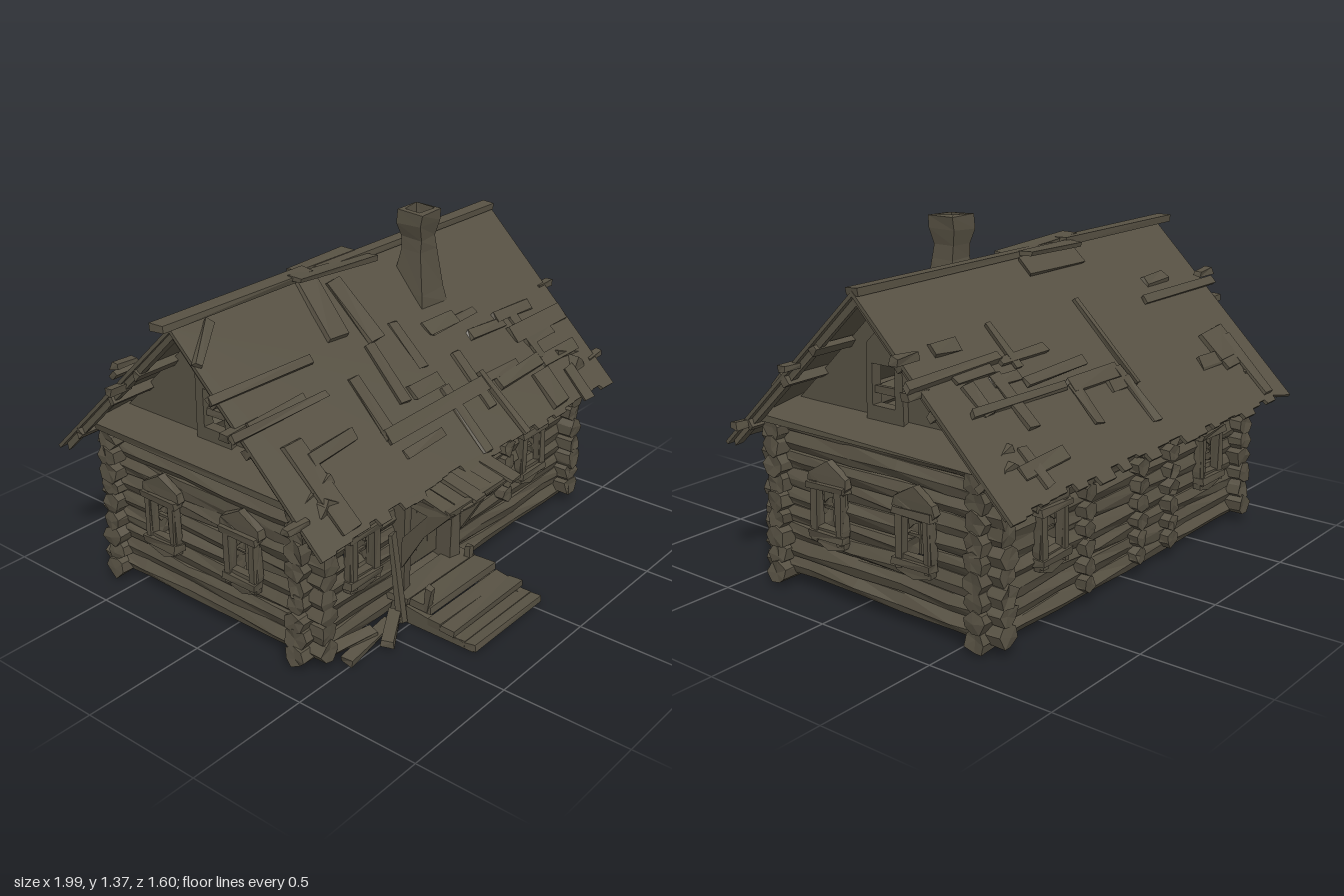
import * as THREE from 'three';

const wood = new THREE.MeshStandardMaterial({ color: 0x575143, flatShading: true });
wood.name = 'weathered wood';

// seeded random numbers
let seed = 7;
const rnd = (a = 0, b = 1) => {
  seed = (seed * 16807) % 2147483647;
  return a + (b - a) * (seed / 2147483647);
};

// nudges vertices; corners that share a place move together
function rough(geo, amount) {
  const p = geo.attributes.position, moved = new Map();
  for (let i = 0; i < p.count; i++) {
    const key = [p.getX(i), p.getY(i), p.getZ(i)].map(v => Math.round(v * 1e4) + 0).join();
    if (!moved.has(key)) moved.set(key, [rnd(-amount, amount), rnd(-amount, amount), rnd(-amount, amount)]);
    const d = moved.get(key);
    p.setXYZ(i, p.getX(i) + d[0], p.getY(i) + d[1], p.getZ(i) + d[2]);
  }
  geo.computeVertexNormals();
  return geo;
}

function add(parent, name, geo, x = 0, y = 0, z = 0) {
  const m = new THREE.Mesh(geo, wood);
  m.name = name;
  m.position.set(x, y, z);
  parent.add(m);
  return m;
}

const plank = (parent, name, w, h, d, x, y, z, j = 0.005) =>
  add(parent, name, rough(new THREE.BoxGeometry(w, h, d), j), x, y, z);

function outline(points) {
  return new THREE.Shape(points.map(([x, y]) => new THREE.Vector2(x, y)));
}

function holed(points, [x0, x1, y0, y1]) {
  const s = outline(points);
  s.holes.push(new THREE.Path([[x0, y0], [x0, y1], [x1, y1], [x1, y0]].map(p => new THREE.Vector2(...p))));
  return s;
}

const extrude = (shape, depth) => new THREE.ExtrudeGeometry(shape, { depth, bevelEnabled: false });

// stacked logs along local x, cut around openings [x0, x1, y0, y1]
function logWall(name, x0, x1, openings, shift) {
  const g = new THREE.Group();
  g.name = name;
  for (let i = 0; i < 9; i++) {
    const y = 0.058 + i * 0.07 + shift;
    let runs = [[x0 + rnd(-0.008, 0.008), x1 + rnd(-0.008, 0.008)]];
    for (const [a, b, lo, hi] of openings) {
      if (y < lo || y > hi) continue;
      runs = runs.flatMap(([s, e]) => (a > s && b < e ? [[s, a], [b, e]] : [[s, e]]));
    }
    for (const [s, e] of runs) {
      const geo = new THREE.CylinderGeometry(0.044, 0.044, e - s, 7, Math.max(1, Math.round((e - s) / 0.22)));
      geo.rotateZ(Math.PI / 2);
      add(g, 'log', rough(geo, 0.008), (s + e) / 2, y, 0);
    }
  }
  return g;
}

// carved window surround with a peaked top and broken glazing bars
function windowFrame(parent, x, low, z) {
  const g = new THREE.Group();
  g.name = 'window';
  g.position.set(x, low, z);
  const points = [[-0.075, 0], [0, -0.02], [0.075, 0], [0.08, 0.07], [0.072, 0.2], [0.098, 0.23],
    [0.09, 0.265], [0, 0.315], [-0.09, 0.265], [-0.098, 0.23], [-0.072, 0.2], [-0.08, 0.07]];
  add(g, 'windowSurround', rough(extrude(holed(points, [-0.05, 0.05, 0.06, 0.2]), 0.03), 0.004));
  for (const s of [-1, 1]) plank(g, 'windowPost', 0.026, 0.22, 0.03, s * 0.062, 0.12, 0.025);
  plank(g, 'windowSill', 0.17, 0.03, 0.045, 0, 0.035, 0.025);
  plank(g, 'windowHead', 0.18, 0.025, 0.04, 0, 0.22, 0.025);
  plank(g, 'glazingBar', 0.014, 0.14, 0.012, 0.0, 0.13, -0.01, 0.003);
  plank(g, 'glazingBar', 0.1, 0.012, 0.012, 0, 0.125, -0.01, 0.003);
  const shard = outline([[-0.05, 0.2], [-0.05, 0.14], [-0.03, 0.16], [0.01, 0.18], [0.05, 0.15], [0.05, 0.2]]);
  add(g, 'brokenPane', extrude(shard, 0.006), 0, 0, -0.01);
  parent.add(g);
}

// short crossing log ends where an inner wall meets an outer wall
function logEnds(parent, x, z, lo, hi) {
  for (let i = lo; i < hi; i++) {
    const geo = new THREE.CylinderGeometry(0.036, 0.036, 0.13, 6, 1).rotateX(Math.PI / 2);
    add(parent, 'crossLogEnd', rough(geo, 0.007), x, 0.09 + i * 0.07, z);
  }
}

// one roof slope in its own plane: x along the ridge, -y down the slope
function roofSlope(name, turn, boards) {
  const g = new THREE.Group();
  g.name = name;
  g.position.set(0, 1.2, -0.12);
  g.rotation.set(-0.8, turn, 0, 'YXZ');
  const pts = [[-0.93, 0], [-0.93, -0.94]];
  for (let x = -0.86; x < 0.86; x += rnd(0.04, 0.1)) {
    const y = -rnd(0.895, 0.945);
    pts.push([x, pts[pts.length - 1][1]], [x + 0.006, y]);
  }
  pts.push([0.93, -0.935], [0.93, 0]);
  add(g, 'roofSheet', extrude(outline(pts), 0.014), 0, 0, -0.014);
  for (const [x, y, w, h, tilt] of boards) {
    plank(g, 'patchBoard', w, h, 0.018, x, y, 0.01).rotation.z = tilt || 0;
  }
  for (let i = 0; i < 16; i++) {
    const across = i % 3 > 0, l = rnd(0.12, 0.3), w = rnd(0.03, 0.06);
    plank(g, 'looseBoard', across ? l : w, across ? w : l, 0.012, rnd(-0.75, 0.75), -rnd(0.25, 0.8), 0.007)
      .rotation.z = rnd(-0.05, 0.05);
  }
  for (const s of [-1, 1]) plank(g, 'vergeBoard', 0.03, 0.9, 0.025, s * 0.9, -0.46, -0.025);
  for (const y of [-0.3, -0.5, -0.78]) plank(g, 'purlin', 1.86, 0.03, 0.03, 0, y, -0.03);
  return g;
}

export function createModel() {
  const house = new THREE.Group();
  house.name = 'logCabin';

  // long walls
  const wins = x => [x - 0.06, x + 0.06, 0.29, 0.43];
  const front = logWall('frontWall', -0.87, 0.87, [wins(-0.57), wins(0.51), [-0.33, -0.03, 0.1, 0.54]], 0);
  front.position.z = 0.365;
  windowFrame(front, -0.57, 0.23, 0.035);
  windowFrame(front, 0.51, 0.23, 0.035);
  const back = logWall('backWall', -0.87, 0.87, [wins(-0.51), wins(0.55)], 0);
  back.position.z = -0.58;
  back.rotation.y = Math.PI;
  windowFrame(back, -0.51, 0.23, 0.035);
  windowFrame(back, 0.55, 0.23, 0.035);
  logEnds(front, 0.33, 0.01, 2, 7);
  for (const x of [-0.3, 0.04, 0.26]) logEnds(back, x, 0.01, 0, 8);
  house.add(front, back);

  // side walls, gables and eave ledges
  for (const s of [-1, 1]) {
    const side = logWall(s > 0 ? 'leftWall' : 'rightWall', s > 0 ? -0.46 : -0.67, s > 0 ? 0.67 : 0.46,
      [wins(-0.1 * s), wins(0.31 * s)], 0.022);
    side.position.x = 0.79 * s;
    side.rotation.y = s * Math.PI / 2;
    windowFrame(side, -0.1 * s, 0.23, 0.04);
    windowFrame(side, 0.31 * s, 0.23, 0.04);
    house.add(side);

    const gable = holed([[0.42, 0.64], [-0.12, 1.17], [-0.66, 0.64]], [-0.15, -0.045, 0.76, 0.91]);
    add(house, 'gable', extrude(gable, 0.02).rotateY(-Math.PI / 2), 0.73 * s + 0.01);
    const frame = holed([[-0.015, 0.7], [-0.02, 0.98], [-0.1, 1.06], [-0.185, 0.98], [-0.19, 0.7]],
      [-0.15, -0.045, 0.76, 0.91]);
    add(house, 'atticWindowFrame', extrude(frame, 0.03).rotateY(-Math.PI / 2), 0.75 * s + 0.015);
    plank(house, 'atticGlazingBar', 0.02, 0.025, 0.12, 0.74 * s, 0.815, -0.1, 0.003);
    plank(house, 'gableLedge', 0.18, 0.02, 1.04, 0.8 * s, 0.685, -0.11, 0.01).rotation.z = -0.3 * s;
  }

  // door set back between its posts
  const doorway = new THREE.Group();
  doorway.name = 'doorway';
  for (let i = 0; i < 4; i++) plank(doorway, 'doorBoard', 0.07, 0.4, 0.02, -0.285 + i * 0.07, 0.32, 0.355, 0.001);
  for (const x of [-0.335, -0.025]) plank(doorway, 'doorPost', 0.045, 0.46, 0.12, x, 0.32, 0.38, 0.007);
  plank(doorway, 'doorLintel', 0.36, 0.04, 0.12, -0.18, 0.535, 0.38);
  plank(doorway, 'doorHandle', 0.015, 0.04, 0.02, -0.07, 0.3, 0.37, 0.001);
  house.add(doorway);

  // sagging porch roof with ragged braces
  for (let i = 0; i < 6; i++) {
    const l = rnd(0.24, 0.29);
    plank(house, 'porchRoofBoard', 0.068, 0.014, l, -0.35 + i * 0.07, 0.548 + rnd(-0.006, 0.006), 0.41 + l / 2)
      .rotation.x = 0.24;
  }
  plank(house, 'porchRoofBeam', 0.4, 0.02, 0.025, -0.18, 0.515, 0.65);
  for (const x of [-0.36, 0.01]) {
    const brace = outline([[0.4, 0.55], [0.4, 0.5], [0.57, 0.48], [0.45, 0.35], [0.45, 0.22], [0.55, 0.39], [0.67, 0.515]]);
    add(house, 'porchBrace', rough(extrude(brace, 0.022).rotateY(-Math.PI / 2), 0.004), x);
  }

  // porch steps
  const steps = new THREE.Group();
  steps.name = 'porchSteps';
  [[0.75, 0.022, 0.1], [0.645, 0.05, 0.12], [0.49, 0.092, 0.2]].forEach(([z, y, d]) => {
    for (const k of [-0.25, 0.25]) plank(steps, 'treadBoard', 0.43 + rnd(-0.02, 0.02), 0.026, d / 2, -0.175, y, z + k * d, 0.004);
  });
  const stringer = outline([[0.79, 0.005], [0.78, 0.02], [0.6, 0.06], [0.42, 0.085], [0.4, 0.005]]);
  for (const x of [-0.36, 0.04]) add(steps, 'stringer', extrude(stringer, 0.03).rotateY(-Math.PI / 2), x);
  plank(steps, 'brokenRailPost', 0.025, 0.1, 0.025, -0.37, 0.13, 0.57).rotation.x = 0.1;
  plank(steps, 'brokenRailPost', 0.025, 0.06, 0.025, 0.01, 0.12, 0.48);
  plank(steps, 'leaningPlank', 0.03, 0.36, 0.02, -0.415, 0.2, 0.46).rotation.x = -0.15;
  house.add(steps);

  // fallen boards beside the steps
  [[-0.6, 0.03, 0.47, 0.28, 0.1], [-0.66, 0.055, 0.45, 0.2, -0.2], [-0.5, 0.045, 0.5, 0.18, 0.5]].forEach(([x, y, z, w, t]) => {
    plank(house, 'fallenBoard', w, 0.025, 0.05, x, y, z, 0.008).rotation.set(0.2, t, 0.06);
  });

  // roof
  house.add(roofSlope('frontRoof', 0, [
    [-0.14, -0.2, 0.08, 0.28, 0.05], [-0.28, -0.14, 0.1, 0.27, -0.1], [-0.06, -0.68, 0.63, 0.06, 0.01],
    [-0.72, -0.3, 0.5, 0.03, -0.02], [-0.74, -0.44, 0.48, 0.03, 0], [0.45, -0.7, 0.3, 0.05, 0.03],
    [0.72, -0.56, 0.36, 0.07, 0], [0.26, -0.78, 0.03, 0.3, 0.1], [0.55, -0.82, 0.1, 0.16, 0],
    [-0.76, -0.72, 0.09, 0.36, 0.04], [-0.62, -0.62, 0.24, 0.05, 0.05], [0.72, -0.86, 0.06, 0.16, 0],
    [-0.85, -0.1, 0.2, 0.03, 0.7]]));
  house.add(roofSlope('backRoof', Math.PI, [
    [0.72, -0.34, 0.52, 0.04, 0], [-0.75, -0.39, 0.48, 0.03, 0.02], [-0.55, -0.56, 0.5, 0.03, -0.02],
    [0.72, -0.62, 0.18, 0.14, 0.06], [0.78, -0.74, 0.06, 0.3, 0.04], [0.07, -0.45, 0.03, 0.4, 0.02],
    [-0.3, -0.5, 0.35, 0.04, 0.02], [0.1, -0.07, 0.34, 0.08, 0]]));
  plank(house, 'ridgeBoard', 0.75, 0.025, 0.06, -0.61, 1.21, -0.12);
  plank(house, 'ridgeBoard', 1.1, 0.02, 0.05, 0.38, 1.198, -0.12);
  plank(house, 'looseRidgeBoard', 0.44, 0.02, 0.07, -0.13, 1.205, -0.08).rotation.z = -0.06;
  plank(house, 'looseRidgeBoard', 0.32, 0.02, 0.06, -0.1, 1.205, -0.17);

  // beam ends past the verges
  for (const s of [-1, 1]) {
    for (const [y, z] of [[1.01, -0.355], [0.9, 0.17], [0.9, -0.4], [0.64, 0.44]]) {
      plank(house, 'beamEnd', 0.1, 0.025, 0.035, 0.935 * s, y, z, 0.006);
    }
  }

  // chimney: four-sided, flared at foot and crown, hollow at the top
  const profile = [[0.118, 0.98], [0.106, 1.04], [0.07, 1.2], [0.066, 1.25], [0.084, 1.31], [0.088, 1.36],
    [0.06, 1.365], [0.05, 1.25], [0, 1.25]].map(p => new THREE.Vector2(...p));
  add(house, 'chimney', rough(new THREE.LatheGeometry(profile, 4, Math.PI / 4), 0.005), 0.265, 0, 0.015);

  return house;
}
